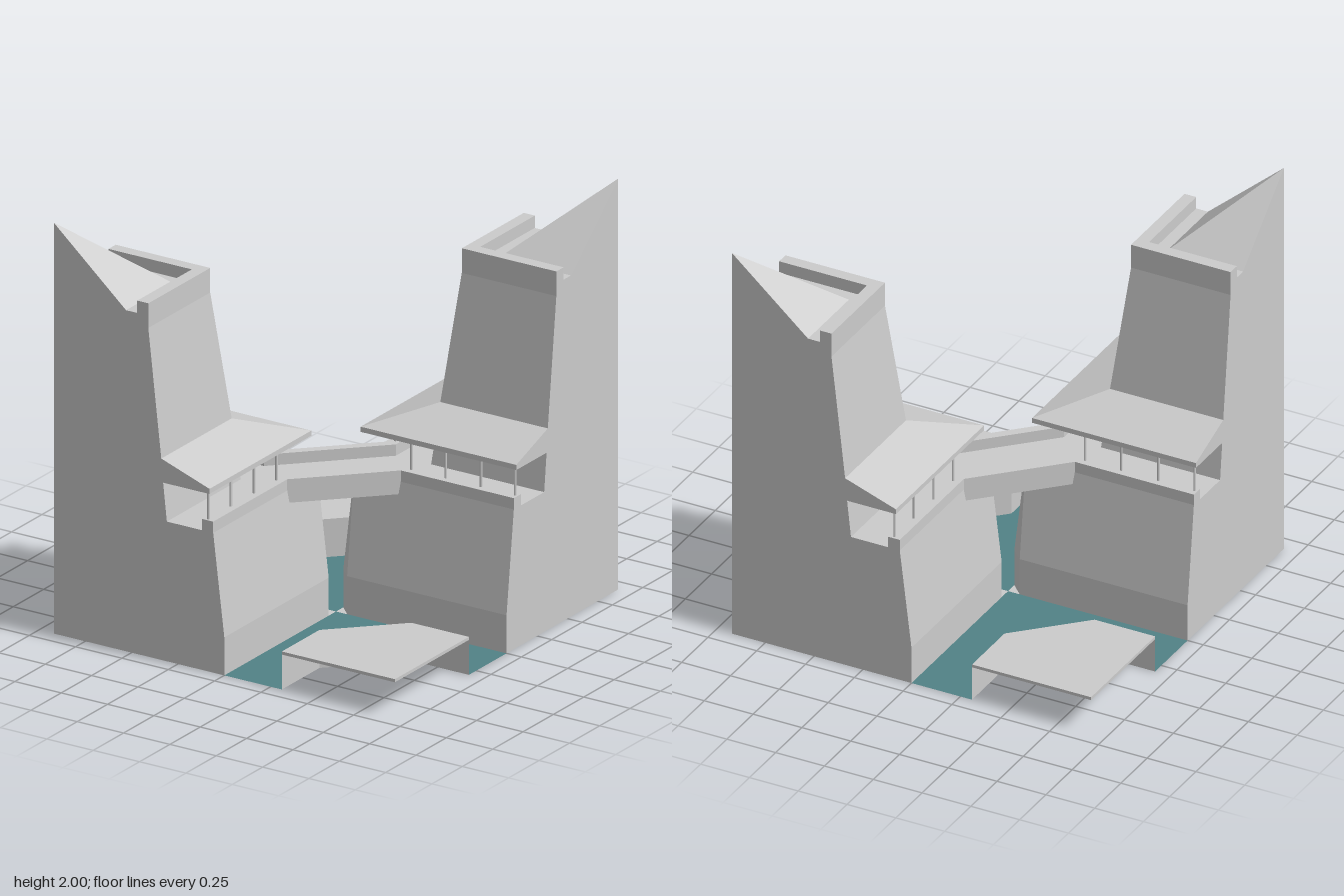
import * as THREE from 'three';

const E = 0.92; // half width of the tile
const grey = new THREE.MeshStandardMaterial({ color: 0xcccccc, flatShading: true });
const thin = new THREE.MeshStandardMaterial({ color: 0xcccccc, flatShading: true, side: THREE.DoubleSide });
const water = new THREE.MeshStandardMaterial({ color: 0x528286, side: THREE.DoubleSide });

// Tower wall profile: [distance from the tile's middle line, height]
const PROFILE = [
  [0, 0], [0, 0.185], [0.06, 0.68], [0.31, 0.68], [0.33, 0.865], [0.08, 0.865], [0.08, 0.89],
  [0.34, 0.98], [0.41, 1.6], [0.41, 1.72], [0.47, 1.72], [0.47, 1.66], [0.53, 1.66], [E, 2],
];

function add(parent, name, geometry, material = grey) {
  const mesh = new THREE.Mesh(geometry, material);
  mesh.name = name;
  parent.add(mesh);
  return mesh;
}

// Shape from plan points [x, z]
const plan = (pts) => new THREE.Shape(pts.map(([x, z]) => new THREE.Vector2(x, -z)));

function slab(pts, y, height) {
  return new THREE.ExtrudeGeometry(plan(pts), { depth: height, bevelEnabled: false })
    .rotateX(-Math.PI / 2).translate(0, y, 0);
}

function sheet(pts, y) {
  return new THREE.ShapeGeometry(plan(pts)).rotateX(-Math.PI / 2).translate(0, y, 0);
}

// Sweep the profile round the inner corner; the foot of the corner is chamfered
function towerSkin() {
  const rings = PROFILE.map(([i, y]) => {
    const c = Math.max(0.06, i);
    return [[E, i], [c, i], [i, c], [i, E]].map(([a, b]) => new THREE.Vector3(a, y, -b));
  });
  const pos = [];
  const tri = (a, b, c) => {
    const area = b.clone().sub(a).cross(c.clone().sub(a)).length();
    if (area > 1e-7) [a, b, c].forEach((p) => pos.push(p.x, p.y, p.z));
  };
  for (let r = 0; r < rings.length - 1; r++) {
    for (let k = 0; k < 3; k++) {
      const lo = rings[r], hi = rings[r + 1];
      tri(lo[k + 1], lo[k], hi[k]);
      tri(lo[k + 1], hi[k], hi[k + 1]);
    }
  }
  const g = new THREE.BufferGeometry();
  g.setAttribute('position', new THREE.Float32BufferAttribute(pos, 3));
  g.computeVertexNormals();
  return g;
}

function createTower() {
  const tower = new THREE.Group();
  tower.name = 'tower';
  add(tower, 'towerWalls', towerSkin());

  // Flat outer faces
  const section = (s) => new THREE.ShapeGeometry(
    new THREE.Shape([...PROFILE, [E, 0]].map(([i, y]) => new THREE.Vector2(s * i, y))));
  add(tower, 'towerSideFace', section(1).rotateY(Math.PI / 2).translate(E, 0, 0));
  add(tower, 'towerBackFace', section(-1).rotateY(Math.PI).translate(0, 0, -E));
  add(tower, 'towerFloor', sheet([[0, 0], [E, 0], [E, -E], [0, -E]], 0), thin);

  // Posts carrying the walkway roof
  for (const t of [0.345, 0.53, 0.72, 0.905]) {
    for (const [x, z] of [[t, -0.095], [0.095, -t]]) {
      add(tower, 'roofPost', new THREE.CylinderGeometry(0.006, 0.006, 0.13, 8)).position.set(x, 0.8, z);
    }
  }
  return tower;
}

function createQuay() {
  const quay = new THREE.Group();
  quay.name = 'quay';
  const edge = [[0.31, E], [0.31, 0.61], [0.61, 0.31], [E, 0.31]];
  add(quay, 'quaySlab', slab([...edge, [E, E]], 0.17, 0.015));

  // Thin walls under the slab
  for (let k = 0; k < 3; k++) {
    const [x0, z0] = edge[k], [x1, z1] = edge[k + 1];
    const wall = add(quay, 'quayWall', new THREE.PlaneGeometry(Math.hypot(x1 - x0, z1 - z0), 0.17), thin);
    wall.position.set((x0 + x1) / 2, 0.085, (z0 + z1) / 2);
    wall.rotation.y = -Math.atan2(z1 - z0, x1 - x0);
  }
  add(quay, 'river', sheet([[0, 0], [E, 0], ...edge.slice().reverse(), [0, E]], 0), water);
  return quay;
}

export function createModel() {
  const model = new THREE.Group();
  model.name = 'riverGate';

  // Each half holds a tower, a quay and the parapet along walkway and bridge
  for (const turn of [0, Math.PI]) {
    const half = new THREE.Group();
    half.name = turn ? 'backHalf' : 'frontHalf';
    half.add(createTower(), createQuay());
    add(half, 'parapet', slab([
      [-0.06, E], [-0.06, 0.31], [0.31, -0.06], [E, -0.06],
      [E, -0.12], [0.31, -0.12], [-0.12, 0.31], [-0.12, E],
    ], 0.68, 0.055));
    half.rotation.y = turn;
    model.add(half);
  }

  // Diagonal bridge deck between the towers
  add(model, 'bridgeDeck', slab([[-0.06, 0.31], [0.31, -0.06], [0.06, -0.31], [-0.31, 0.06]], 0.62, 0.06));
  return model;
}
